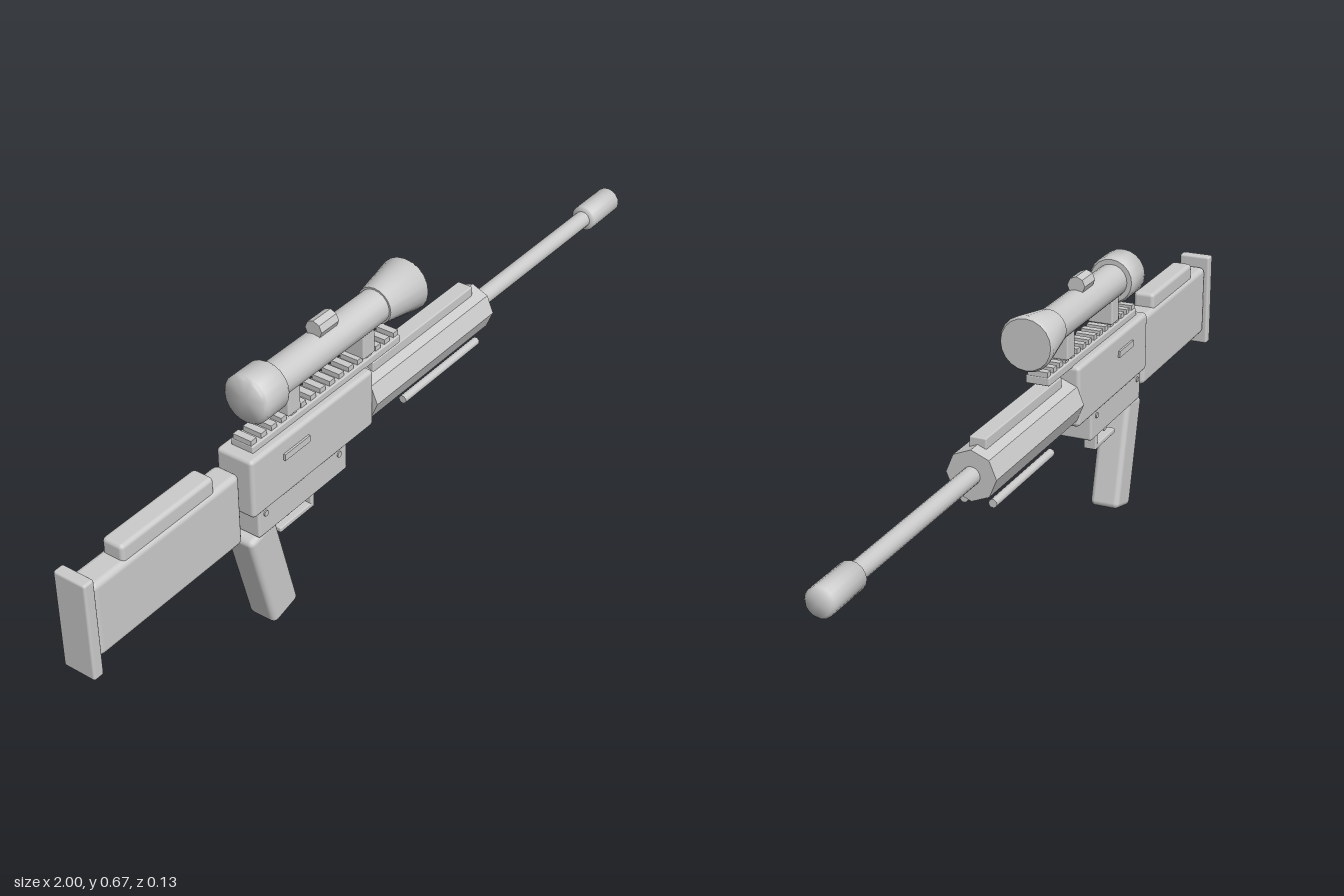
import * as THREE from 'three';
import { RoundedBoxGeometry } from 'three/addons/geometries/RoundedBoxGeometry.js';
import { toCreasedNormals } from 'three/addons/utils/BufferGeometryUtils.js';

export function createModel() {
  const model = new THREE.Group();
  const smooth = new THREE.MeshStandardMaterial({ color: 0xcccccc });
  const flat = new THREE.MeshStandardMaterial({ color: 0xcccccc, flatShading: true });

  const add = (name, geometry, material = smooth) => {
    const mesh = new THREE.Mesh(geometry, material);
    mesh.name = name;
    model.add(mesh);
    return mesh;
  };
  // Box from its x and y limits and half depth; radius rounds the edges
  const box = (name, x0, x1, y0, y1, hz, radius = 0, z = 0) => {
    const w = x1 - x0, h = y1 - y0;
    const g = radius ? new RoundedBoxGeometry(w, h, hz * 2, 2, radius) : new THREE.BoxGeometry(w, h, hz * 2);
    const mesh = add(name, g);
    mesh.position.set((x0 + x1) / 2, (y0 + y1) / 2, z);
    return mesh;
  };
  // Turned part along x: profile points are [x, radius]
  const turned = (name, profile, y, sides = 16) => {
    const g = new THREE.LatheGeometry(profile.map(([x, r]) => new THREE.Vector2(r, x)), sides);
    g.rotateZ(-Math.PI / 2);
    const mesh = add(name, toCreasedNormals(g, 0.9));
    mesh.position.y = y;
    return mesh;
  };
  // Prism or rod along x
  const rod = (name, x0, x1, r, y, z, sides, material = smooth) => {
    const g = new THREE.CylinderGeometry(r, r, x1 - x0, sides).rotateZ(-Math.PI / 2);
    const mesh = add(name, g, material);
    mesh.position.set((x0 + x1) / 2, y, z);
    return mesh;
  };

  // Stock
  box('stock', -0.97, -0.532, 0.287, 0.47, 0.033, 0.014);
  box('cheekRest', -0.88, -0.605, 0.455, 0.505, 0.027, 0.01);
  box('buttPlate', -1, -0.972, 0.254, 0.496, 0.041, 0.006);

  // Receiver
  box('upperReceiver', -0.513, -0.092, 0.343, 0.491, 0.048, 0.01);
  box('lowerReceiver', -0.49, -0.182, 0.274, 0.36, 0.041, 0.006);
  for (const side of [1, -1]) {
    box('sidePlate', -0.41, -0.325, 0.437, 0.453, 0.005, 0, side * 0.048);
    for (const x of [-0.467, -0.212]) {
      const pin = add('pin', new THREE.CylinderGeometry(0.007, 0.007, 0.01, 10).rotateX(Math.PI / 2));
      pin.position.set(x, 0.33, side * 0.039);
    }
  }

  // Grip and trigger
  const grip = box('grip', -0.481, -0.393, 0.006, 0.286, 0.038, 0.014);
  grip.position.set(-0.437, 0.145, 0);
  grip.rotation.z = 0.25;
  box('triggerGuardBar', -0.39, -0.27, 0.213, 0.226, 0.016, 0.003);
  box('triggerGuardPost', -0.283, -0.27, 0.213, 0.285, 0.016, 0.003);
  const trigger = box('trigger', -0.354, -0.342, 0.232, 0.285, 0.007, 0.003);
  trigger.rotation.z = -0.25;

  // Handguard
  rod('handguard', -0.094, 0.368, 0.059, 0.402, 0, 8, flat);
  box('handguardRail', -0.056, 0.336, 0.44, 0.477, 0.02, 0.003);
  for (const z of [0.034, -0.034]) rod('lowerRod', 0.037, 0.336, 0.01, 0.331, z, 10);

  // Barrel and muzzle
  rod('barrel', 0.34, 0.89, 0.021, 0.402, 0, 16);
  turned('muzzle', [[0.87, 0], [0.87, 0.028], [0.875, 0.033], [0.993, 0.033], [1, 0.027], [1, 0]], 0.402);

  // Top rail
  box('railBase', -0.485, 0.033, 0.487, 0.507, 0.029, 0.003);
  const teeth = 16;
  for (let i = 0; i < teeth; i++) {
    const x = -0.475 + i * (0.498 / (teeth - 1));
    box('railTooth', x - 0.009, x + 0.009, 0.5, 0.519, 0.024);
  }

  // Scope
  for (const x of [-0.347, -0.085]) box('scopeMount', x - 0.021, x + 0.021, 0.515, 0.58, 0.031, 0.004);
  turned('scope', [
    [-0.47, 0], [-0.47, 0.052], [-0.463, 0.058], [-0.398, 0.058], [-0.39, 0.053], [-0.39, 0.041],
    [-0.025, 0.041], [-0.025, 0.045], [0.088, 0.065], [0.095, 0.06], [0.095, 0],
  ], 0.602, 20);
  rod('adjustmentKnob', -0.24, -0.18, 0.022, 0.653, 0, 8, flat);

  return model;
}
